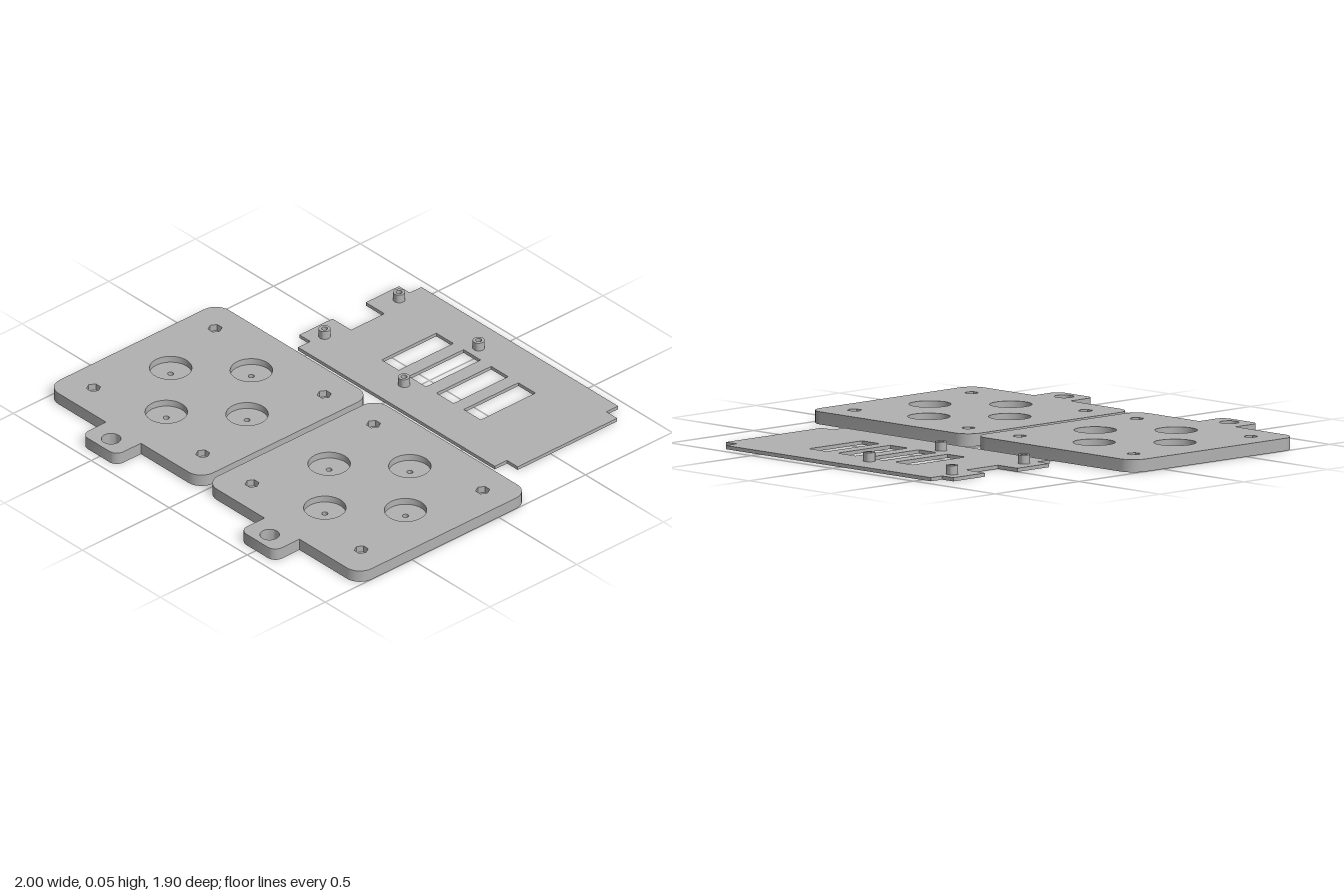
import * as THREE from 'three';
import { mergeGeometries, toCreasedNormals } from 'three/addons/utils/BufferGeometryUtils.js';

const V = (x, z) => new THREE.Vector2(x, -z); // plan point, shape y = -z

// Counter-clockwise arc in plan
function arc(x, z, r, start, sweep, n) {
  const pts = [];
  for (let i = 0; i <= n; i++) {
    const a = start + (sweep * i) / n;
    pts.push(new THREE.Vector2(x + r * Math.cos(a), -z + r * Math.sin(a)));
  }
  return pts;
}
const ring = (x, z, r, n = 32) => arc(x, z, r, 0, Math.PI * 2, n).slice(0, n);
const rect = (x0, x1, z0, z1) => [V(x0, z1), V(x1, z1), V(x1, z0), V(x0, z0)];

// Flat face at height y, facing up or down
function sheet(outline, holes, y, up = true) {
  const shape = new THREE.Shape(outline);
  shape.holes = holes.map((h) => new THREE.Path(h));
  const g = new THREE.ShapeGeometry(shape);
  g.rotateX(-Math.PI / 2).translate(0, y, 0);
  if (!up) {
    g.index.array.reverse();
    g.computeVertexNormals();
  }
  g.deleteAttribute('uv');
  return g.toNonIndexed();
}

// Vertical wall round a loop; inward for holes
function wall(loop, y0, y1, inward = false) {
  const pts = inward ? [...loop].reverse() : loop;
  const pos = [];
  pts.forEach((a, i) => {
    const b = pts[(i + 1) % pts.length];
    pos.push(a.x, y0, -a.y, b.x, y0, -b.y, b.x, y1, -b.y);
    pos.push(a.x, y0, -a.y, b.x, y1, -b.y, a.x, y1, -a.y);
  });
  const g = new THREE.BufferGeometry();
  g.setAttribute('position', new THREE.Float32BufferAttribute(pos, 3));
  g.computeVertexNormals();
  return toCreasedNormals(g, 0.6);
}

// Thick plate with round or hexagonal pockets, each with a through hole
function caseGeometry() {
  const H = 0.055, floor = 0.025, q = Math.PI / 2;
  const w = 0.492, z0 = -0.175, z1 = 0.807, r = 0.075;
  const tw = 0.112, tz = 0.95, tr = 0.042;
  const outline = [
    ...arc(-w + r, z1 - r, r, 2 * q, q, 8),
    V(-tw, z1),
    ...arc(-tw + tr, tz - tr, tr, 2 * q, q, 8),
    ...arc(tw - tr, tz - tr, tr, 3 * q, q, 8),
    V(tw, z1),
    ...arc(w - r, z1 - r, r, 3 * q, q, 8),
    ...arc(w - r, z0 + r, r, 0, q, 8),
    ...arc(-w + r, z0 + r, r, q, q, 8),
  ];
  const cz = 0.315, pockets = [];
  for (const [x, z] of [[0, -0.245], [0, 0.245], [-0.245, 0], [0.245, 0]])
    pockets.push([ring(x, cz + z, 0.091, 48), ring(x, cz + z, 0.013, 20)]);
  for (const x of [-0.35, 0.35]) for (const z of [-0.35, 0.35])
    pockets.push([ring(x, cz + z, 0.031, 6), ring(x, cz + z, 0.017, 20)]);
  const tabHole = ring(0, 0.878, 0.042);

  const parts = [
    sheet(outline, [tabHole, ...pockets.map((p) => p[0])], H),
    sheet(outline, [tabHole, ...pockets.map((p) => p[1])], 0, false),
    wall(outline, 0, H),
    wall(tabHole, 0, H, true),
  ];
  for (const [wide, small] of pockets)
    parts.push(wall(wide, floor, H, true), sheet(wide, [small], floor), wall(small, 0, floor, true));
  return mergeGeometries(parts);
}

// Thin plate with notched corners and four windows
const POSTS = [[-0.543, -0.813], [-0.033, -0.813], [-0.543, -0.383], [-0.033, -0.383]];
const T = 0.016, POST_R = 0.026, BORE = 0.013;

function panelGeometry() {
  const outline = [
    V(-0.553, -0.24), V(0.708, -0.24), V(0.708, -0.31), V(0.777, -0.31),
    V(0.777, -0.883), V(0.708, -0.883), V(0.708, -0.95), V(-0.553, -0.95),
    V(-0.553, -0.883), V(-0.622, -0.883), V(-0.622, -0.692), V(-0.503, -0.692),
    V(-0.503, -0.5), V(-0.622, -0.5), V(-0.622, -0.31), V(-0.553, -0.31),
  ];
  const windows = [-0.24, -0.065, 0.112, 0.286].map((x) => rect(x, x + 0.109, -0.755, -0.44));
  const bores = POSTS.map(([x, z]) => ring(x, z, BORE, 20));
  const feet = POSTS.map(([x, z]) => ring(x, z, POST_R));
  return mergeGeometries([
    sheet(outline, [...windows, ...feet], T),
    sheet(outline, [...windows, ...bores], 0, false),
    wall(outline, 0, T),
    ...windows.map((h) => wall(h, 0, T, true)),
    ...bores.map((h) => wall(h, 0, T, true)),
  ]);
}

// Hollow standoff
function postGeometry() {
  const outer = ring(0, 0, POST_R), bore = ring(0, 0, BORE, 20);
  return mergeGeometries([
    wall(outer, T, 0.055),
    wall(bore, T, 0.055, true),
    sheet(outer, [bore], 0.055),
  ]);
}

export function createModel() {
  const grey = new THREE.MeshStandardMaterial({ color: 0xb2b2b2 });
  grey.name = 'grey plastic';
  const model = new THREE.Group();
  model.name = 'platePartsSet';
  const add = (name, geometry, x = 0, z = 0) => {
    const mesh = new THREE.Mesh(geometry, grey);
    mesh.name = name;
    mesh.position.set(x, 0, z);
    model.add(mesh);
  };

  const plate = caseGeometry();
  add('rightPocketPlate', plate, -0.508);
  add('leftPocketPlate', plate, 0.508);
  add('windowPanel', panelGeometry());
  const post = postGeometry();
  POSTS.forEach(([x, z], i) => add('standoff' + (i + 1), post, x, z));
  return model;
}
